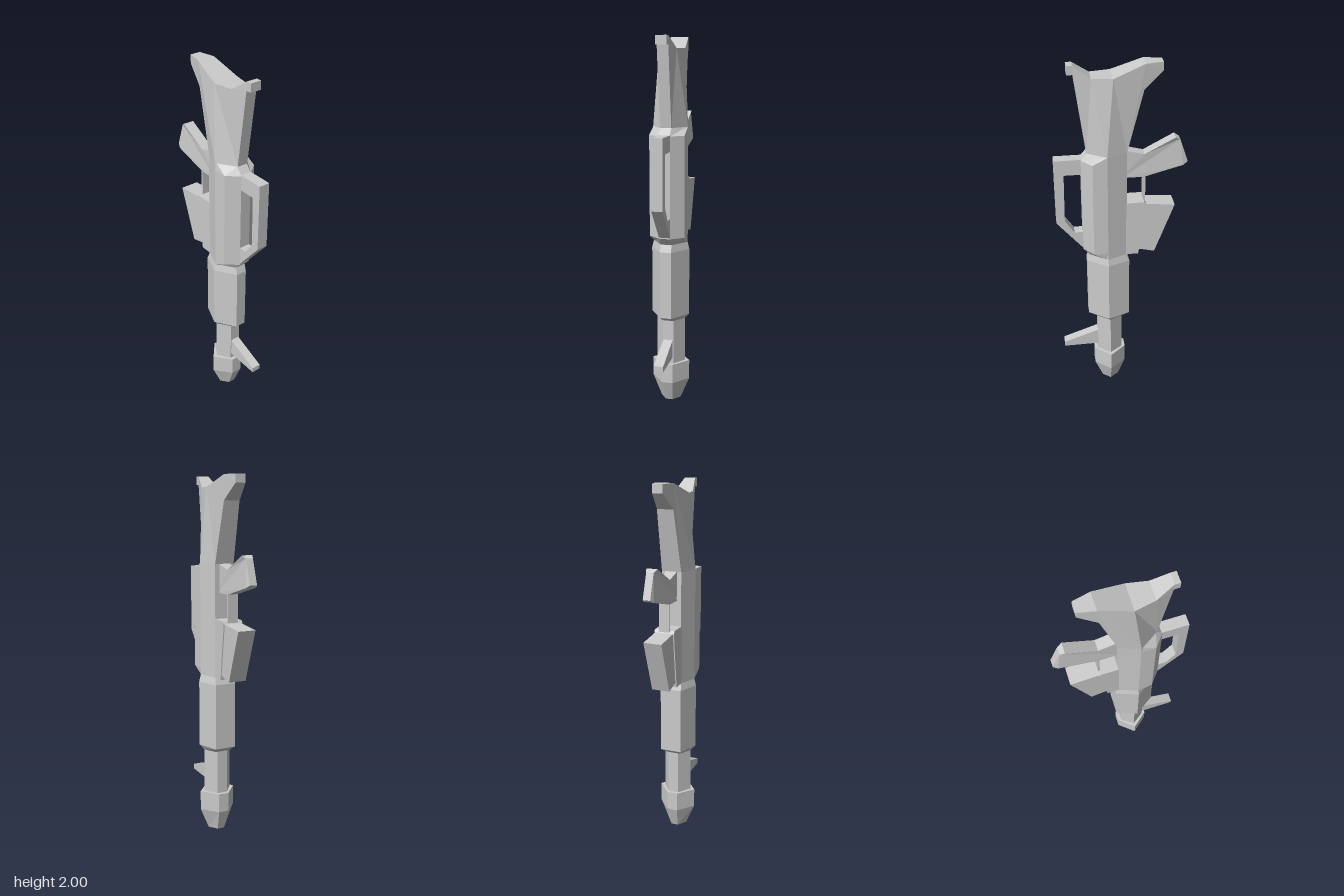
import * as THREE from 'three';

const material = new THREE.MeshStandardMaterial({ color: 0xcccccc, flatShading: true });

// Skins a list of equal-length point rings and caps both ends.
function loft(rings) {
  const n = rings[0].length, index = [];
  for (let r = 0; r < rings.length - 1; r++) {
    for (let i = 0; i < n; i++) {
      const j = (i + 1) % n;
      const a = r * n + i, b = r * n + j;
      index.push(a, b, b + n, a, b + n, a + n);
    }
  }
  const last = (rings.length - 1) * n;
  for (let i = 1; i < n - 1; i++) {
    index.push(0, i + 1, i, last, last + i, last + i + 1);
  }
  const indexed = new THREE.BufferGeometry();
  indexed.setAttribute('position', new THREE.Float32BufferAttribute(rings.flat(2), 3));
  indexed.setIndex(index);
  const geometry = indexed.toNonIndexed();
  geometry.computeVertexNormals();
  return geometry;
}

// Horizontal ring at height y from [x, z] points of its +x half, front to back.
function ring(y, half) {
  const right = half.map(([x, z]) => [x, y, z]);
  const left = half.map(([x, z]) => [-x, y, z]).reverse();
  return [...right, ...left];
}

// Six-sided ring: front z, half width at zMid, back z, half widths of front and back flats.
const hex = (y, front, wide, zMid, back, wFront = 0.03, wBack = 0.03) =>
  ring(y, [[wFront, front], [wide, zMid], [wBack, back]]);

// Side profile of [z, y] points extruded to a half width in x.
function slab(points, halfWidth, hole) {
  const toVectors = (list) => list.map(([z, y]) => new THREE.Vector2(-z, y));
  const shape = new THREE.Shape(toVectors(points));
  if (hole) shape.holes.push(new THREE.Path(toVectors(hole)));
  return new THREE.ExtrudeGeometry(shape, { depth: halfWidth * 2, bevelEnabled: false })
    .translate(0, 0, -halfWidth)
    .rotateY(Math.PI / 2);
}

export function createModel() {
  const model = new THREE.Group();
  model.name = 'rifle';
  const add = (name, geometry) => {
    const mesh = new THREE.Mesh(geometry, material);
    mesh.name = name;
    model.add(mesh);
  };

  // Muzzle, barrel and handguard
  add('muzzle', loft([
    hex(0, 0.115, 0.055, 0.07, 0.02, 0.02, 0.02),
    hex(0.12, 0.16, 0.105, 0.07, -0.02),
    hex(0.23, 0.16, 0.105, 0.07, -0.02),
  ]));
  add('barrel', loft([
    hex(0.2, 0.14, 0.08, 0.07, 0),
    hex(0.5, 0.14, 0.08, 0.07, 0),
  ]));
  add('handguard', loft([
    hex(0.48, 0.14, 0.08, 0.07, 0, 0.03, 0.04),
    hex(0.51, 0.19, 0.105, 0.08, -0.04, 0.03, 0.06),
    hex(0.88, 0.19, 0.105, 0.08, -0.04, 0.03, 0.06),
    hex(0.92, 0.175, 0.095, 0.08, -0.025, 0.03, 0.055),
  ]));

  // Receiver with chamfered ends
  const receiverEnd = [[0.03, 0.175], [0.09, 0.09], [0.095, 0.08], [0.055, -0.025]];
  const receiverMid = [[0.03, 0.21], [0.095, 0.157], [0.095, 0.08], [0.055, -0.025]];
  add('receiver', loft([
    ring(0.92, receiverEnd),
    ring(0.96, receiverMid),
    ring(1.5, receiverMid),
    ring(1.54, receiverEnd),
  ]));

  // Stock: sections from front to back as [zTop, yTop, wTop, zBottom, yBottom, wBottom]
  const sections = [
    [0.265, 2.0, 0.03, 0.265, 1.955, 0.03],
    [0.235, 2.0, 0.03, 0.235, 1.955, 0.03],
    [0.15, 1.94, 0.05, 0.18, 1.54, 0.03],
    [0.045, 1.94, 0.07, 0.08, 1.54, 0.095],
    [-0.115, 2.0, 0.048, -0.025, 1.54, 0.055],
    [-0.115, 2.0, 0.048, -0.11, 1.87, 0.045],
    [-0.205, 2.0, 0.028, -0.205, 1.955, 0.028],
  ];
  add('stock', loft(sections.map(([zt, yt, wt, zb, yb, wb]) => [
    [-wt, yt, zt], [wt, yt, zt], [wb, yb, zb], [-wb, yb, zb],
  ])));

  // Carrying handle
  add('carryHandle', slab(
    [[0.35, 1.505], [0.35, 1.135], [0.205, 0.96], [0.19, 0.96], [0.19, 1.505]], 0.03,
    [[0.3, 1.42], [0.205, 1.42], [0.205, 1.07], [0.255, 1.07], [0.305, 1.145]],
  ));

  // Front sight
  add('frontSight', slab([[0.12, 0.375], [0.34, 0.295], [0.34, 0.265], [0.12, 0.265]], 0.026));

  // Pistol grip, narrowed along its end
  const grip = slab([
    [0, 1.54], [-0.025, 1.54], [-0.12, 1.515], [-0.28, 1.6], [-0.305, 1.585],
    [-0.35, 1.455], [-0.325, 1.44], [-0.12, 1.385], [0, 1.385],
  ], 0.03);
  const position = grip.attributes.position;
  for (let i = 0; i < position.count; i++) {
    if (position.getZ(i) < -0.3 && position.getY(i) > 1.45) {
      position.setX(i, position.getX(i) * 0.67);
    }
  }
  grip.computeVertexNormals();
  add('grip', grip);

  // Trigger guard, magazine well and magazine
  add('triggerGuard', slab([[-0.117, 1.4], [-0.127, 1.4], [-0.127, 1.23], [-0.117, 1.23]], 0.03));
  add('magazineWell', slab([
    [0, 1.245], [-0.12, 1.245], [-0.13, 1.23], [-0.09, 0.92], [0, 0.92],
  ], 0.056));
  add('magazine', slab([
    [-0.08, 1.232], [-0.13, 1.23], [-0.285, 1.215], [-0.18, 0.925], [-0.1, 0.945], [-0.08, 0.945],
  ], 0.05));

  return model;
}
